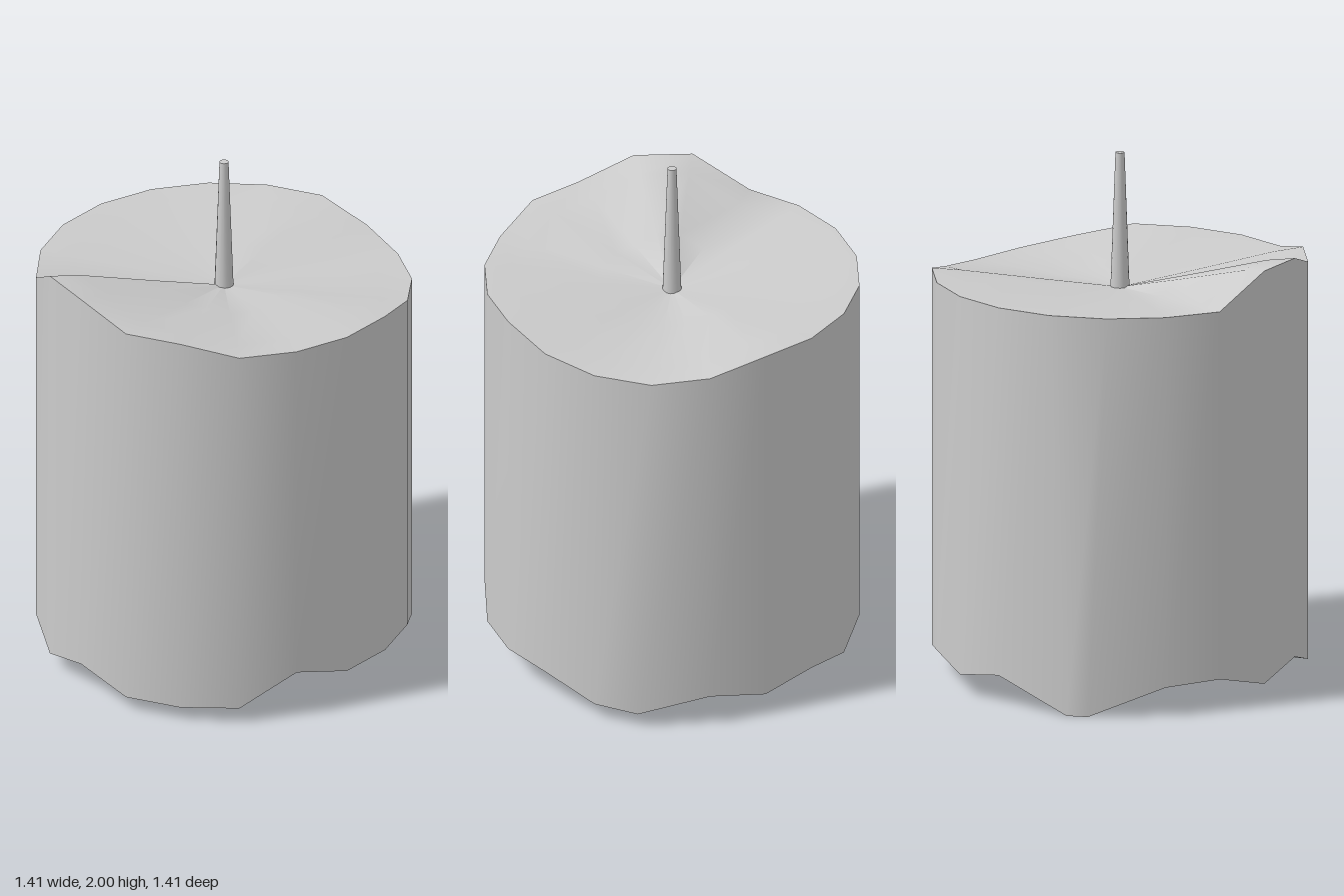
import * as THREE from 'three';

const SIDES = 20;
const RADIUS = 0.705;
const TOP_CENTRE = 1.48;
const BOTTOM_CENTRE = 0.13;

// Rim heights, starting at the front and turning towards +x
const topHeights = [1.54, 1.54, 1.5, 1.475, 1.467, 1.49, 1.54, 1.54, 1.54, 1.54,
  1.54, 1.54, 1.54, 1.54, 1.66, 1.66, 1.59, 1.59, 1.54, 1.54];
const bottomHeights = [0.13, 0.13, 0.13, 0.06, 0.055, 0.12, 0.085, 0.12, 0.08, 0.12,
  0, 0, 0.11, 0.12, 0.065, 0.12, 0.055, 0.055, 0.06, 0.185];

// Bottom corners dragged away from the regular outline: [x, z]
const dragged = { 4: [0.67, 0.27], 10: [-0.07, -0.705], 11: [-0.15, -0.69] };

function rim(heights, moved = {}) {
  return heights.map((y, i) => {
    const a = (i / SIDES) * Math.PI * 2;
    const [x, z] = moved[i] ?? [RADIUS * Math.sin(a), RADIUS * Math.cos(a)];
    return new THREE.Vector3(x, y, z);
  });
}

// Ring drawn in towards a centre point; lift bows the slope upwards
function inset(ring, centreY, t, lift = 0) {
  const centre = new THREE.Vector3(0, centreY, 0);
  return ring.map((p) => {
    const q = p.clone().lerp(centre, t);
    q.y += lift * (p.y - centreY);
    return q;
  });
}

// Smooth skin through closed rings, listed from bottom to top as seen from outside
function skin(rings) {
  const points = rings.flat();
  const index = [];
  for (let r = 0; r < rings.length - 1; r++) {
    for (let i = 0; i < SIDES; i++) {
      const j = (i + 1) % SIDES;
      const a = r * SIDES + i, b = r * SIDES + j;
      index.push(a, b, b + SIDES, a, b + SIDES, a + SIDES);
    }
  }
  const geometry = new THREE.BufferGeometry().setFromPoints(points);
  geometry.setIndex(index);
  geometry.computeVertexNormals();
  return geometry;
}

export function createModel() {
  const group = new THREE.Group();
  const material = new THREE.MeshStandardMaterial({ color: 0xcccccc });
  const add = (name, geometry) => {
    const mesh = new THREE.Mesh(geometry, material);
    mesh.name = name;
    group.add(mesh);
    return mesh;
  };

  const top = rim(topHeights);
  const bottom = rim(bottomHeights, dragged);

  // Wax body: wall, dished top and uneven underside
  add('waxWall', skin([bottom, top]));
  add('waxTop', skin([
    top,
    inset(top, TOP_CENTRE, 0.16, 0.06),
    inset(top, TOP_CENTRE, 0.6, 0.02),
    inset(top, TOP_CENTRE, 0.999),
  ]));
  add('waxUnderside', skin([inset(bottom, BOTTOM_CENTRE, 0.999), bottom]));

  // Tapered wick
  const wick = add('wick', new THREE.CylinderGeometry(0.017, 0.036, 0.53, 16));
  wick.position.y = 2 - 0.53 / 2;

  return group;
}
